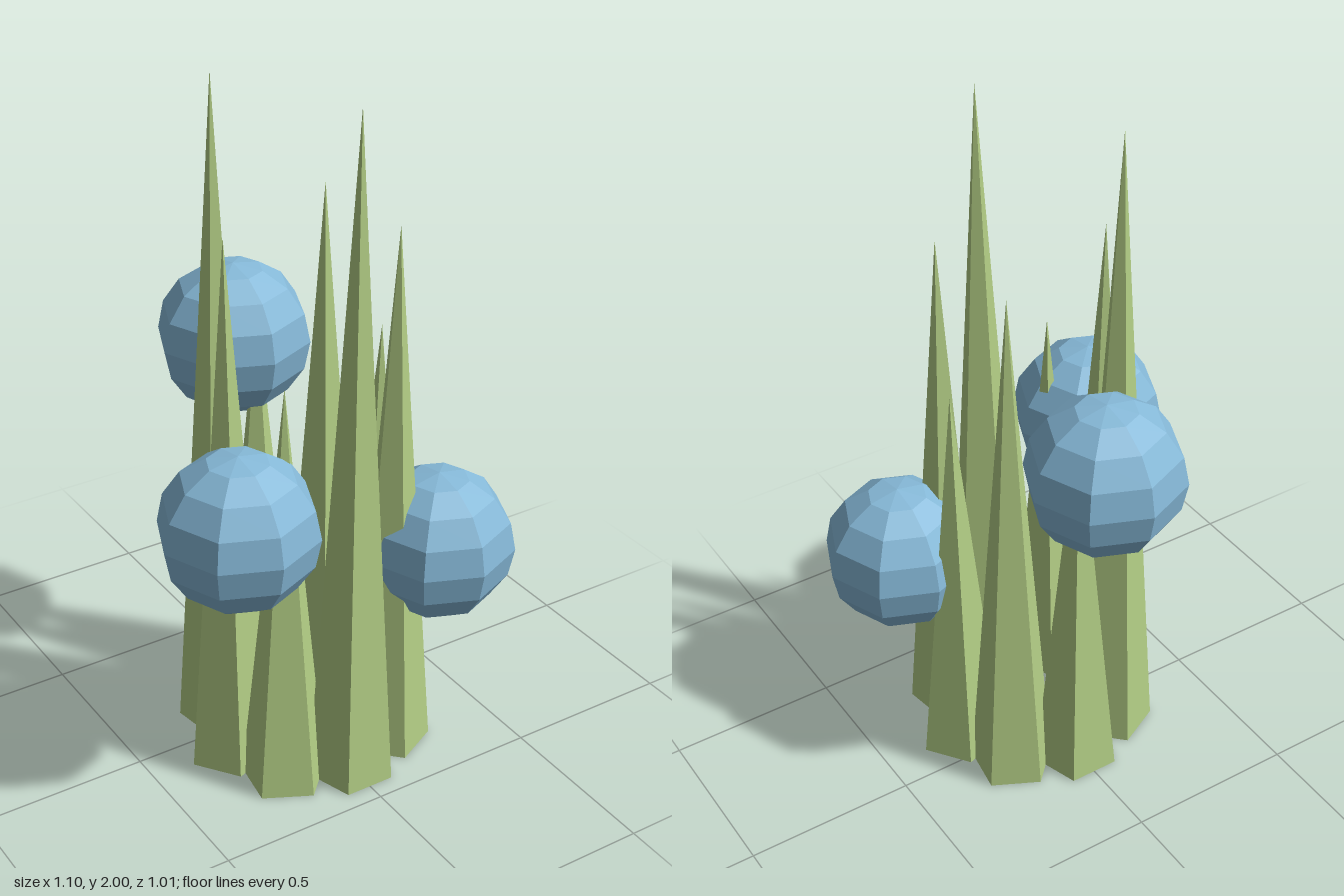
import * as THREE from 'three';

export function createModel() {
  const model = new THREE.Group();
  const green = new THREE.MeshStandardMaterial({ color: 0xb4cf86, flatShading: true });
  const blue = new THREE.MeshStandardMaterial({ color: 0x86b9d8, flatShading: true });
  const centreZ = 0.095;

  // Ring of eight five-sided spikes in three repeating heights
  const spikes = new THREE.Group();
  spikes.name = 'spikes';
  const heights = [1.25, 1.625, 2];
  for (let i = 0; i < 8; i++) {
    const angle = (i * Math.PI) / 4;
    const height = heights[i % 3];
    const spike = new THREE.Mesh(new THREE.ConeGeometry(0.125, height, 5), green);
    spike.name = 'spike';
    spike.position.set(0.25 * Math.cos(angle), height / 2, centreZ + 0.25 * Math.sin(angle));
    spike.rotation.y = angle + Math.PI / 2;
    spikes.add(spike);
  }
  model.add(spikes);

  // Three faceted balls around the ring, each higher than the last
  const balls = new THREE.Group();
  balls.name = 'balls';
  for (let i = 0; i < 3; i++) {
    const angle = Math.PI / 6 + (i * 2 * Math.PI) / 3;
    const ball = new THREE.Mesh(new THREE.SphereGeometry(0.223, 8, 8), blue);
    ball.name = 'ball';
    ball.position.set(0.375 * Math.cos(angle), 0.628 + 0.25 * i, centreZ + 0.375 * Math.sin(angle));
    balls.add(ball);
  }
  model.add(balls);

  return model;
}
